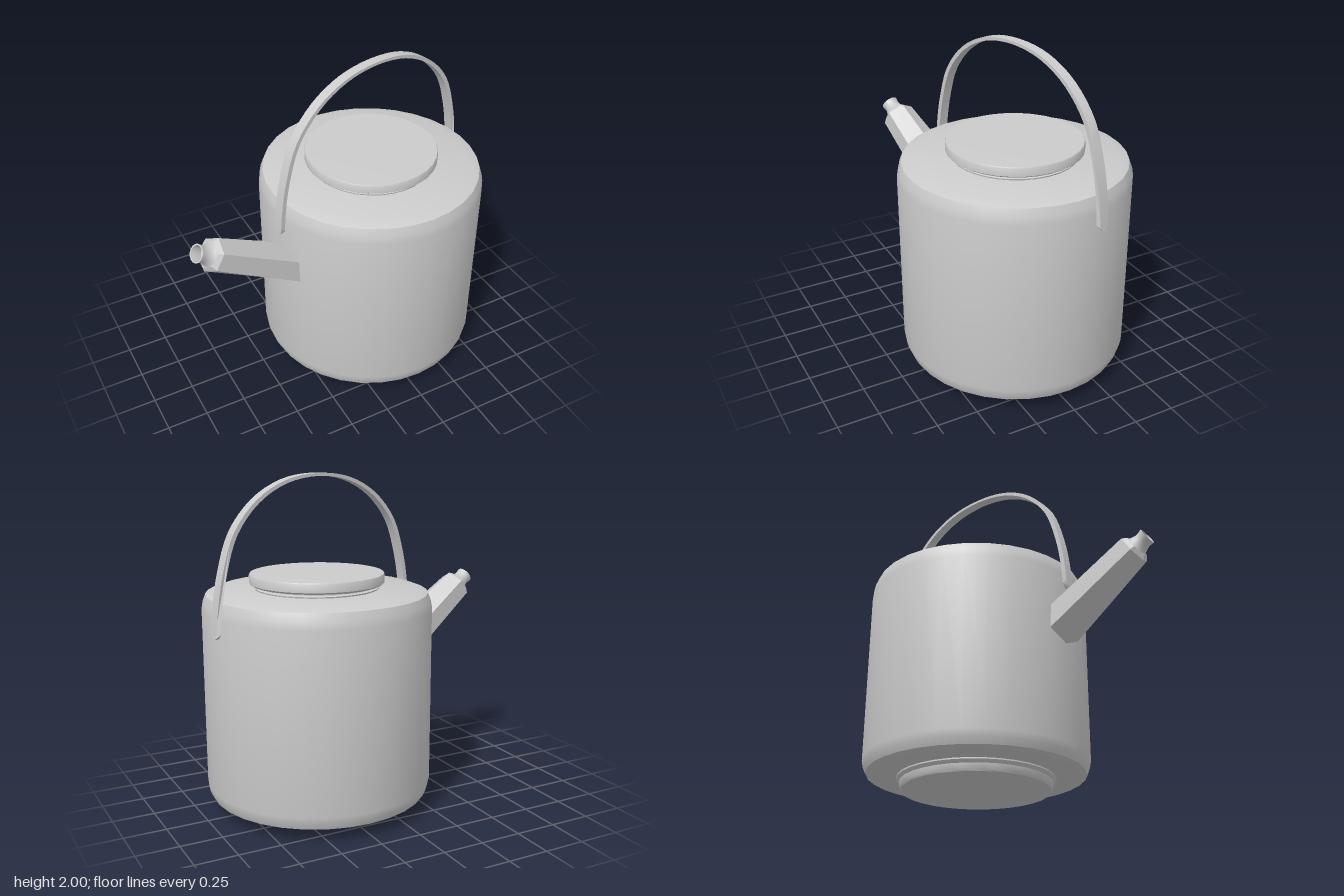
import * as THREE from 'three';
import { toCreasedNormals } from 'three/addons/utils/BufferGeometryUtils.js';

const material = new THREE.MeshStandardMaterial({ color: 0xcccccc, side: THREE.DoubleSide });

function part(name, geometry, crease = 0.6) {
  const mesh = new THREE.Mesh(toCreasedNormals(geometry, crease), material);
  mesh.name = name;
  return mesh;
}

function lathe(name, profile, segments = 32) {
  return part(name, new THREE.LatheGeometry(profile.map(([r, y]) => new THREE.Vector2(r, y)), segments));
}

// Flat strap bent into an arch, with pointed ends
function makeHandle() {
  const width = 0.06;
  const half = [[0.715, 1.12], [0.714, 1.15], [0.7, 1.3], [0.665, 1.48], [0.585, 1.7], [0.43, 1.87], [0.23, 1.97], [0, 2]];
  const right = half.map(([x, y]) => new THREE.Vector3(x, y, 0));
  const left = half.slice(0, -1).reverse().map(([x, y]) => new THREE.Vector3(-x, y, 0));
  const curve = new THREE.CatmullRomCurve3([...right, ...left]);
  const spans = right.length + left.length - 1;
  const outer = [], inner = [];
  for (let i = 0; i <= spans * 4; i++) {
    // keep only the knots on the short end pieces, so the points stay crisp
    if ((i > 0 && i < 4) || (i > spans * 4 - 4 && i < spans * 4)) continue;
    const t = i / (spans * 4);
    const p = curve.getPoint(t), d = curve.getTangent(t);
    const thick = 0.017 + 0.011 * Math.abs(p.x) / 0.715;
    outer.push(new THREE.Vector2(p.x, p.y));
    const end = i === 0 || i === spans * 4;
    inner.push(end ? new THREE.Vector2(p.x - Math.sign(p.x) * thick, p.y)
      : new THREE.Vector2(p.x - d.y * thick, p.y + d.x * thick));
    // tangent turned left points towards the inside of the arch
  }
  const shape = new THREE.Shape([...outer, ...inner.reverse()]);
  const geometry = new THREE.ExtrudeGeometry(shape, { depth: width, bevelEnabled: false });
  geometry.translate(0, 0, -width / 2);
  const pos = geometry.attributes.position;
  for (let i = 0; i < pos.count; i++) {
    if (pos.getY(i) < 1.13) pos.setZ(i, pos.getZ(i) * 0.1);
  }
  return part('handle', geometry);
}

// Six-sided tapering spout with a round flared mouth; its own y runs outward
function makeSpout() {
  const spout = new THREE.Group();
  spout.name = 'spout';
  const length = 0.79;
  const tube = new THREE.CylinderGeometry(0.104, 0.127, length, 6, 1, true, Math.PI / 2);
  tube.translate(0, -length / 2, 0);
  const pos = tube.attributes.position;
  for (let i = 0; i < pos.count; i++) {
    pos.setZ(i, pos.getZ(i) * (1 - 0.34 * pos.getY(i) / length));
  }
  const shoulder = new THREE.CylinderGeometry(0.08, 0.104, 0.025, 6, 1, false, Math.PI / 2);
  shoulder.translate(0, 0.0125, 0);
  spout.add(
    part('spoutTube', tube, 0.3),
    part('spoutShoulder', shoulder, 0.3),
    lathe('spoutMouth', [[0.075, 0.02], [0.06, 0.035], [0.051, 0.06], [0.049, 0.08], [0.054, 0.108],
      [0.046, 0.108], [0.04, 0.08], [0.04, 0.04], [0, 0.04]], 16),
  );
  spout.position.set(-1.17, 1.215, 0);
  spout.rotation.z = THREE.MathUtils.degToRad(58);
  return spout;
}

export function createModel() {
  const kettle = new THREE.Group();
  kettle.name = 'kettle';

  // Foot, body and lid share one vertical axis
  kettle.add(
    lathe('foot', [[0, 0.005], [0.43, 0.005], [0.445, 0], [0.452, 0.01], [0.457, 0.045], [0.475, 0.062], [0.475, 0.075]]),
    lathe('body', [[0, 0.07], [0.6, 0.07], [0.655, 0.088], [0.672, 0.125], [0.68, 0.165], [0.68, 1.22],
      [0.672, 1.265], [0.655, 1.31], [0.6, 1.33], [0, 1.335]]),
    lathe('lidNeck', [[0.365, 1.325], [0.37, 1.34], [0.35, 1.345], [0.35, 1.365]]),
    lathe('lid', [[0, 1.357], [0.385, 1.357], [0.4, 1.368], [0.4, 1.415], [0.396, 1.422], [0, 1.425]]),
    makeHandle(),
    makeSpout(),
  );

  // The handle and spout point slightly forward of the side
  kettle.position.x = 0.275;
  kettle.rotation.y = 0.212;
  const model = new THREE.Group();
  model.add(kettle);
  return model;
}
